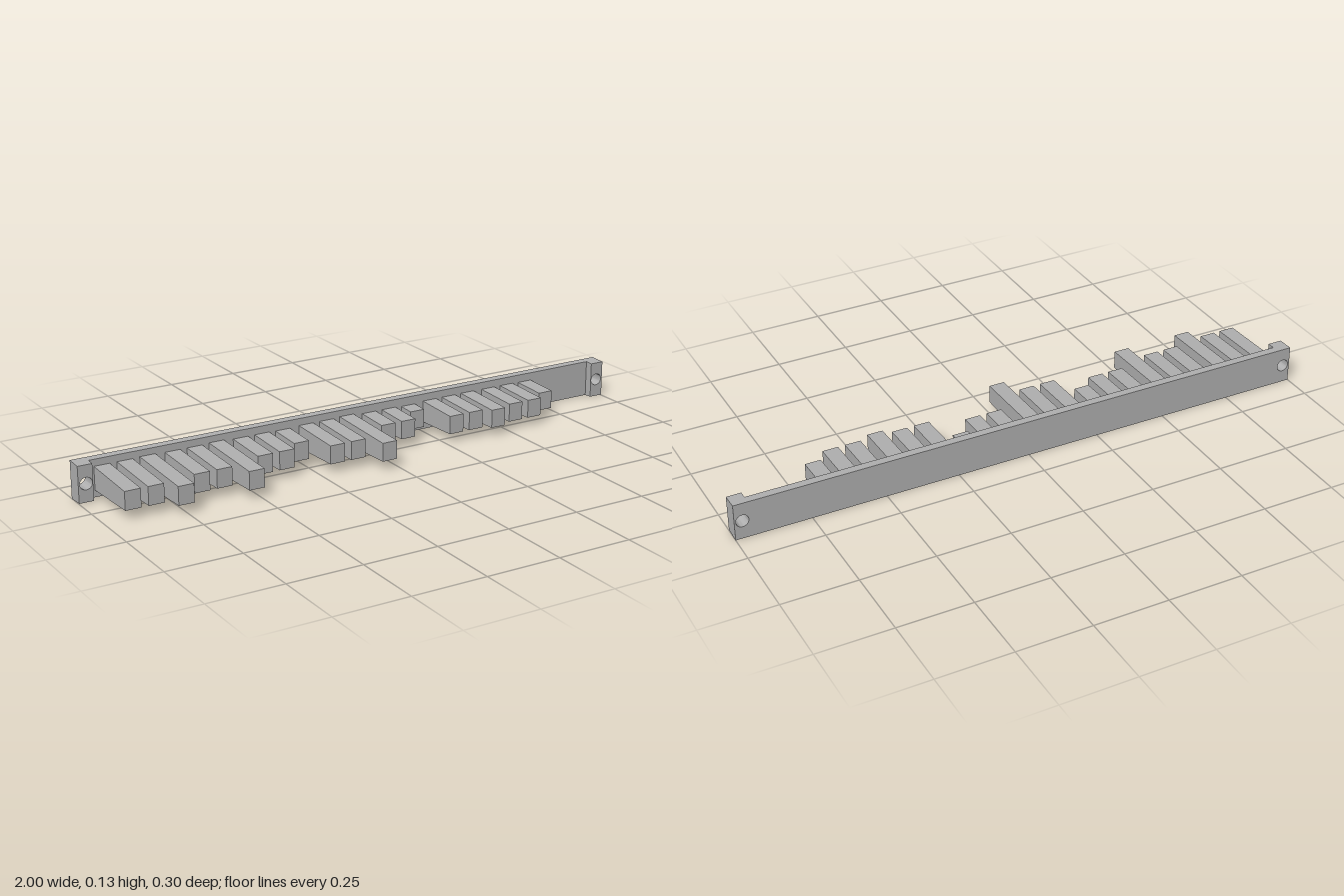
import * as THREE from 'three';
import { toCreasedNormals } from 'three/addons/utils/BufferGeometryUtils.js';

const BACK = -0.149, FACE = -0.12, TAB_FRONT = -0.092;
const DRAFT = 0.036; // moulding taper of the top and bottom faces
const MID_Y = 0.063;

const grey = new THREE.MeshStandardMaterial({ color: 0xb0b0b0 });
grey.name = 'grey plastic';

// Changes the half height in proportion to the distance from a reference z
function taper(geometry, refZ, refHalf) {
  const p = geometry.attributes.position;
  for (let i = 0; i < p.count; i++) {
    const scale = (refHalf + (refZ - p.getZ(i)) * DRAFT) / refHalf;
    p.setY(i, p.getY(i) * scale);
  }
  return toCreasedNormals(geometry, 0.5);
}

function addMesh(group, name, geometry) {
  const mesh = new THREE.Mesh(geometry, grey);
  mesh.name = name;
  mesh.position.y = MID_Y;
  group.add(mesh);
}

// Upright slab between two x values, with round screw holes
function slab(x0, x1, z0, z1, holes) {
  const shape = new THREE.Shape();
  shape.moveTo(x0, -MID_Y).lineTo(x1, -MID_Y).lineTo(x1, MID_Y).lineTo(x0, MID_Y).closePath();
  for (const x of holes) {
    shape.holes.push(new THREE.Path().absarc(x, 0, 0.021, 0, Math.PI * 2, true));
  }
  const g = new THREE.ExtrudeGeometry(shape, { depth: z1 - z0, bevelEnabled: false, curveSegments: 24 });
  g.translate(0, 0, z0);
  return taper(g, BACK, MID_Y);
}

export function createModel() {
  const model = new THREE.Group();
  model.name = 'toothed bar';

  // Long back plate and the thicker tabs at its ends
  addMesh(model, 'backPlate', slab(-1, 1, BACK, FACE, [-0.974, 0.974]));
  addMesh(model, 'rightEndTab', slab(-1, -0.951, FACE, TAB_FRONT, [-0.974]));
  addMesh(model, 'leftEndTab', slab(0.951, 1, FACE, TAB_FRONT, [0.974]));

  // Seven groups of three teeth; each value is the z of a tooth's tip
  const tips = [
    [0.102, 0.102, 0.149], [0.083, 0.083, 0.149], [0.045, 0.045, 0.003],
    [0.083, 0.083, 0.149], [0.003, 0.003, -0.062], [0.045, 0.045, 0.066],
    [0.045, 0.045, 0.003],
  ];
  const teeth = new THREE.Group();
  teeth.name = 'teeth';
  tips.forEach((set, i) => set.forEach((tip, j) => {
    const length = tip - FACE;
    const g = new THREE.BoxGeometry(0.053, 0.062, length);
    g.translate(-0.908 + i * 0.2393 + j * 0.0767, 0, FACE + length / 2);
    addMesh(teeth, `tooth${i * 3 + j + 1}`, taper(g, tip, 0.031));
  }));
  model.add(teeth);
  return model;
}
